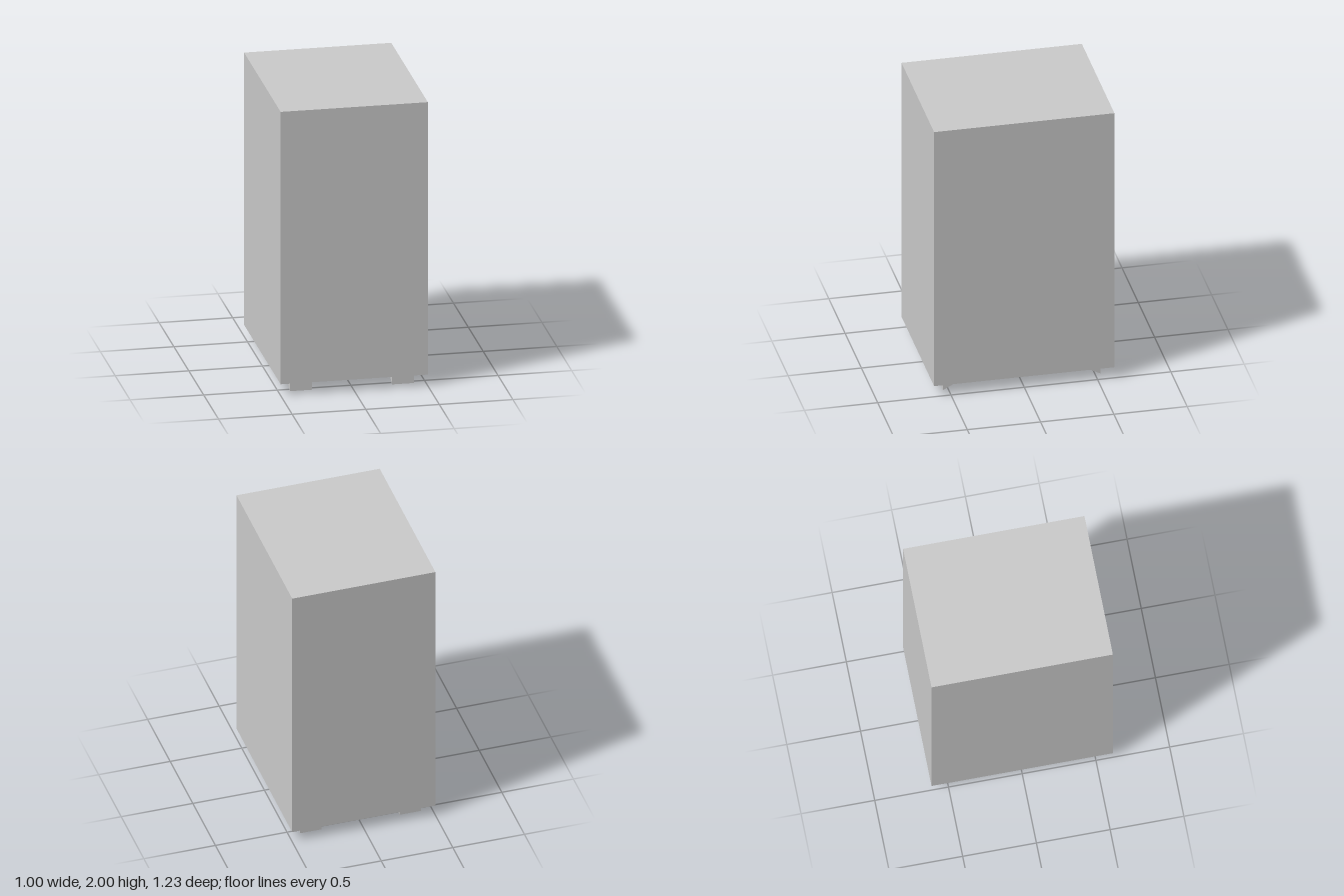
import * as THREE from 'three';

export function createModel() {
  const group = new THREE.Group();
  const material = new THREE.MeshStandardMaterial({ color: 0xcccccc, flatShading: true });
  const bottom = 0.08;

  // Plain cabinet body
  const body = new THREE.Mesh(new THREE.BoxGeometry(1, 2 - bottom, 1.23), material);
  body.name = 'cabinetBody';
  body.position.y = (2 + bottom) / 2;
  group.add(body);

  // Wedge foot: upright outer face, slope rising inward
  const footWidth = 0.15;
  const profile = new THREE.Shape();
  profile.moveTo(0, 0);
  profile.lineTo(0, bottom);
  profile.lineTo(0.15, bottom);
  profile.closePath();
  const footGeometry = new THREE.ExtrudeGeometry(profile, { depth: footWidth, bevelEnabled: false });
  footGeometry.translate(0, 0, -footWidth / 2);

  // Four feet, turned so the slopes face the middle
  for (const front of [true, false]) {
    for (const left of [true, false]) {
      const foot = new THREE.Mesh(footGeometry, material);
      foot.name = (front ? 'front' : 'back') + (left ? 'Left' : 'Right') + 'Foot';
      foot.rotation.y = front ? Math.PI / 2 : -Math.PI / 2;
      foot.position.set(left ? 0.347 : -0.347, 0, front ? 0.538 : -0.538);
      group.add(foot);
    }
  }
  return group;
}
